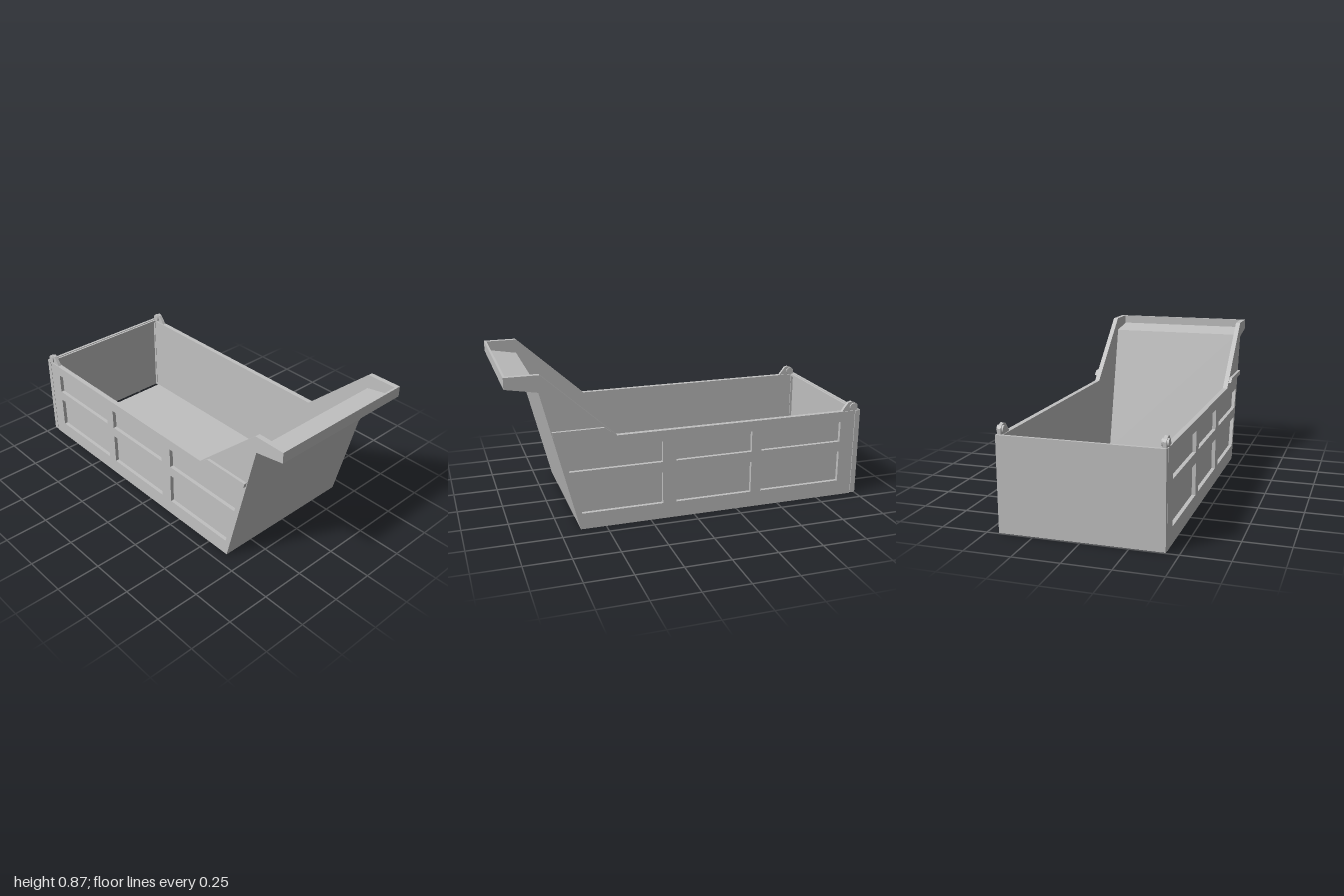
import * as THREE from 'three';

const W = 0.433;   // outer half width
const I = 0.405;   // inner half width
const SKIN = 0.412; // outer face of the recessed panels

const steel = new THREE.MeshStandardMaterial({ color: 0xc0c0c0 });
steel.name = 'grey steel';

// Prism from a [z, y] outline, spanning x0..x1
function prism(name, points, x0, x1, holes = []) {
  const toVec = (p) => new THREE.Vector2(p[0], p[1]);
  const shape = new THREE.Shape(points.map(toVec));
  for (const h of holes) shape.holes.push(new THREE.Path(h.map(toVec)));
  const geo = new THREE.ExtrudeGeometry(shape, { depth: x1 - x0, bevelEnabled: false });
  geo.rotateY(-Math.PI / 2);
  geo.translate(x1, 0, 0);
  const mesh = new THREE.Mesh(geo, steel);
  mesh.name = name;
  return mesh;
}

// Same prism on the left (+x) and right (-x) sides
function pair(group, name, points, x0, x1, holes) {
  group.add(prism(name + 'Left', points, x0, x1, holes));
  group.add(prism(name + 'Right', points, -x1, -x0, holes));
}

export function createModel() {
  const body = new THREE.Group();
  body.name = 'dumpBody';

  // Side walls: pierced outer frame over a thin inner skin
  const outline = [
    [0.64, 0], [0.83, 0.775], [1, 0.805], [1, 0.865], [0.82, 0.865],
    [0.43, 0.508], [-0.967, 0.508], [-0.967, 0],
  ];
  const windows = [];
  for (const [y0, y1, front0, front1] of [[0.09, 0.27, 0.63, 0.673], [0.33, 0.448, 0.69, 0.718]]) {
    windows.push([[0.18, y0], [front0, y0], [front1, y1], [0.18, y1]]);
    for (const [z0, z1] of [[-0.335, 0.105], [-0.88, -0.395]]) {
      windows.push([[z0, y0], [z1, y0], [z1, y1], [z0, y1]]);
    }
  }
  pair(body, 'sideFrame', outline, SKIN, W, windows);
  pair(body, 'sideSkin', outline, I, SKIN);

  // Floor and sloping front wall
  body.add(prism('floor', [[0.64, 0], [0.642, 0.01], [-0.955, 0.01], [-0.955, 0]], -I, I));
  body.add(prism('frontWall', [[0.64, 0], [0.83, 0.775], [0.822, 0.786], [0.63, 0.006]], -I, I));

  // Cab canopy: tilted plate with an upright front lip
  body.add(prism('canopy', [
    [0.83, 0.775], [1, 0.805], [1, 0.865], [0.988, 0.865], [0.988, 0.815], [0.822, 0.786],
  ], -I, I));

  // Tailgate with a thin inner rim, hung just behind the walls
  body.add(prism('tailgate', [[-1, 0.003], [-0.984, 0.003], [-0.984, 0.512], [-1, 0.512]], -W, W));
  body.add(prism('tailgateRim', [[-0.984, 0.495], [-0.972, 0.495], [-0.972, 0.508], [-0.984, 0.508]], -W, W));
  pair(body, 'tailgatePost', [[-0.984, 0.003], [-0.97, 0.003], [-0.97, 0.495], [-0.984, 0.495]], I, W);

  // Tailgate hinges with pins
  pair(body, 'hinge', [
    [-0.888, 0.508], [-0.9, 0.525], [-0.926, 0.558], [-0.945, 0.563], [-0.972, 0.552],
    [-0.985, 0.54], [-0.985, 0.512], [-0.945, 0.5],
  ], 0.41, 0.428);
  for (const side of [1, -1]) {
    const geo = new THREE.CylinderGeometry(0.021, 0.021, 0.036, 16);
    geo.rotateZ(Math.PI / 2);
    const pin = new THREE.Mesh(geo, steel);
    pin.name = side > 0 ? 'hingePinLeft' : 'hingePinRight';
    pin.position.set(side * 0.419, 0.532, -0.955);
    body.add(pin);
  }

  // Short rails on the front wings
  pair(body, 'wingRail', [[0.767, 0.535], [0.773, 0.562], [0.5, 0.562], [0.466, 0.535]], W, 0.449);

  return body;
}
